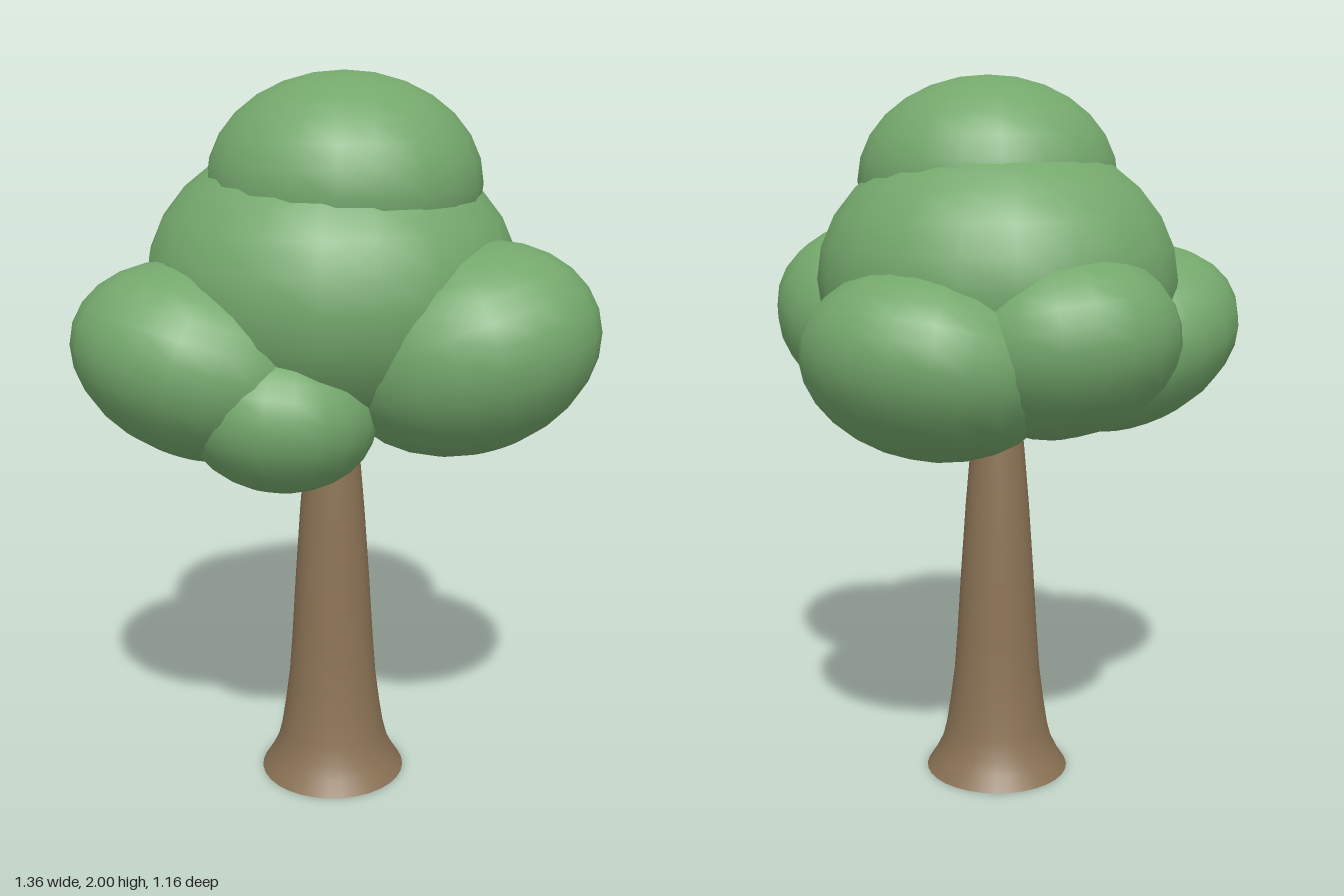
import * as THREE from 'three';

const bark = new THREE.MeshStandardMaterial({ color: 0x8b7355, side: THREE.DoubleSide });
bark.name = 'bark brown';
const leaf = new THREE.MeshStandardMaterial({ color: 0x74a86c });
leaf.name = 'leaf green';

// Centre line of the trunk and main canopy
const AXIS_X = -0.02;
const AXIS_Z = 0.053;

// Flared trunk, an open shell
function makeTrunk() {
  const profile = [
    [0.207, 0], [0.182, 0.04], [0.162, 0.08], [0.149, 0.13], [0.138, 0.2], [0.125, 0.3],
    [0.116, 0.42], [0.105, 0.6], [0.091, 0.8], [0.08, 0.93], [0.071, 1.03],
  ].map(([r, y]) => new THREE.Vector2(r, y));
  const trunk = new THREE.Mesh(new THREE.LatheGeometry(profile, 32), bark);
  trunk.name = 'trunk';
  trunk.position.set(AXIS_X, 0, AXIS_Z);
  return trunk;
}

// Leaf cluster: squashed ball facing away from the axis, outer end raised by tilt
const ball = new THREE.SphereGeometry(1, 20, 14);
function makeCluster({ name, at, size, tilt = 0 }) {
  const cluster = new THREE.Mesh(ball, leaf);
  cluster.name = name;
  cluster.position.set(...at);
  cluster.scale.set(...size);
  if (tilt) {
    cluster.rotation.order = 'YZX';
    cluster.rotation.y = Math.atan2(AXIS_Z - at[2], at[0] - AXIS_X);
    cluster.rotation.z = tilt;
  }
  return cluster;
}

// Sizes of tilted clusters: outward, upward, sideways
const clusters = [
  { name: 'mainCanopy', at: [-0.02, 1.45, 0.05], size: [0.5, 0.4, 0.485] },
  { name: 'topCanopy', at: [0.015, 1.715, 0.085], size: [0.362, 0.285, 0.347] },
  { name: 'leftCluster', at: [0.335, 1.305, 0.213], size: [0.36, 0.273, 0.325], tilt: 0.35 },
  { name: 'rightCluster', at: [-0.335, 1.268, 0.243], size: [0.36, 0.255, 0.333], tilt: 0.35 },
  { name: 'backCluster', at: [0.1, 1.243, -0.25], size: [0.343, 0.25, 0.347], tilt: 0.35 },
  { name: 'backRightCluster', at: [-0.235, 1.295, -0.16], size: [0.33, 0.245, 0.315], tilt: 0.3 },
  { name: 'frontCluster', at: [-0.135, 1.15, 0.325], size: [0.255, 0.2, 0.25], tilt: 0.25 },
];

export function createModel() {
  const tree = new THREE.Group();
  tree.name = 'tree';
  const canopy = new THREE.Group();
  canopy.name = 'canopy';
  canopy.add(...clusters.map(makeCluster));
  tree.add(makeTrunk(), canopy);
  return tree;
}
